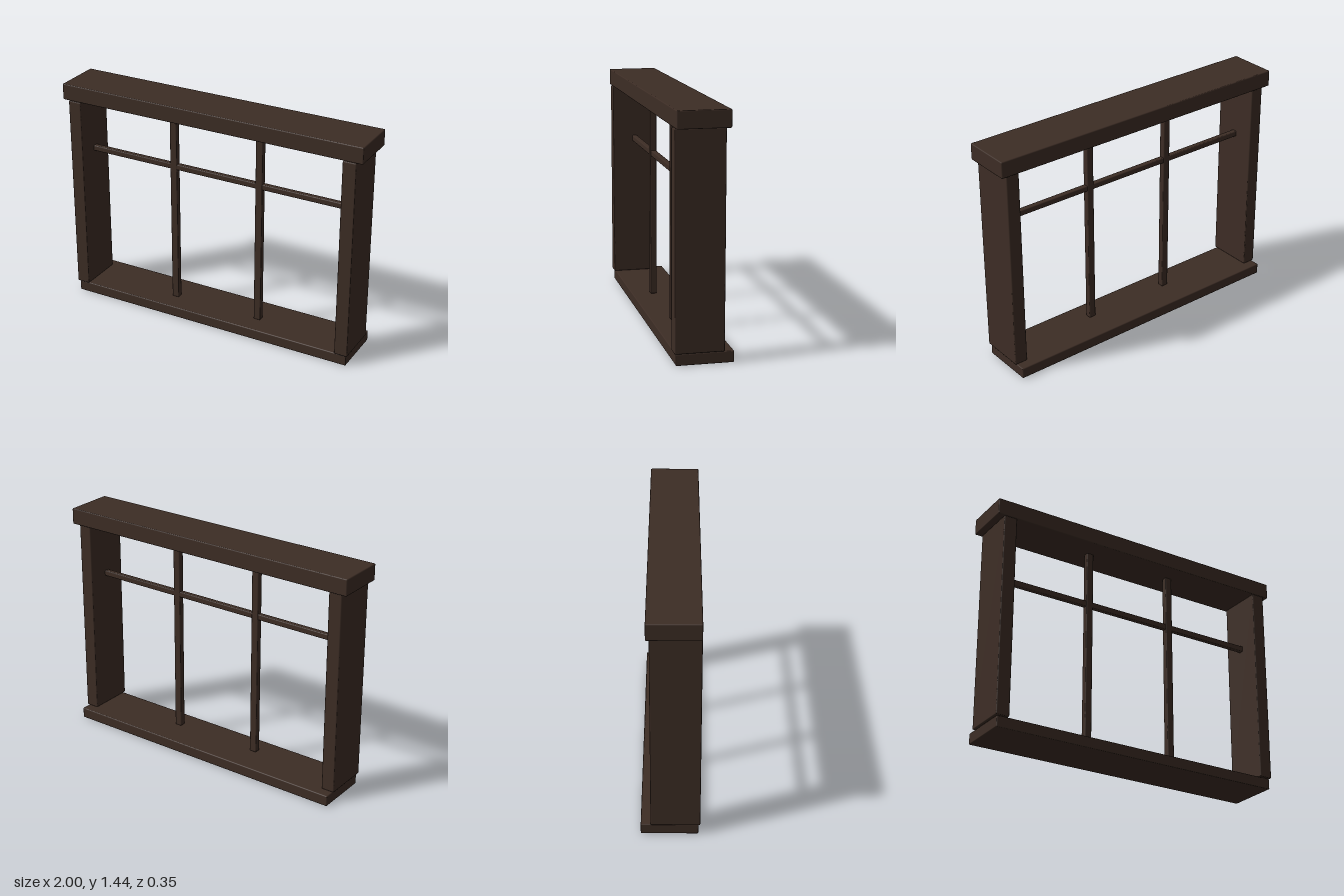
import * as THREE from 'three';
import { RoundedBoxGeometry } from 'three/addons/geometries/RoundedBoxGeometry.js';

export function createModel() {
  const group = new THREE.Group();
  const wood = new THREE.MeshStandardMaterial({ color: 0x3d2d25 });

  // Beam with lightly eased edges, given by its extents on each axis
  function beam(name, [x0, x1], [y0, y1], [z0, z1], ease = 0.006) {
    const mesh = new THREE.Mesh(
      new RoundedBoxGeometry(x1 - x0, y1 - y0, z1 - z0, 1, ease), wood);
    mesh.position.set((x0 + x1) / 2, (y0 + y1) / 2, (z0 + z1) / 2);
    mesh.name = name;
    group.add(mesh);
  }

  // Outer frame: sill, lintel and the two posts
  beam('sill', [-0.95, 0.95], [0, 0.068], [-0.17, 0.165]);
  beam('lintel', [-1, 1], [1.335, 1.437], [-0.132, 0.175]);
  for (const [side, s] of [['left', 1], ['right', -1]]) {
    const cx = s * 0.918;
    beam(side + 'Post', [cx - 0.042, cx + 0.042], [0.07, 1.333], [-0.113, 0.175]);

    // Slim upright bar inside the opening
    const bx = s * 0.293;
    beam(side + 'Mullion', [bx - 0.023, bx + 0.023], [0.07, 1.335], [0.011, 0.051]);
  }

  // Horizontal bar across the upper third
  beam('transom', [-0.88, 0.88], [0.967, 1.003], [0.014, 0.048]);

  return group;
}
